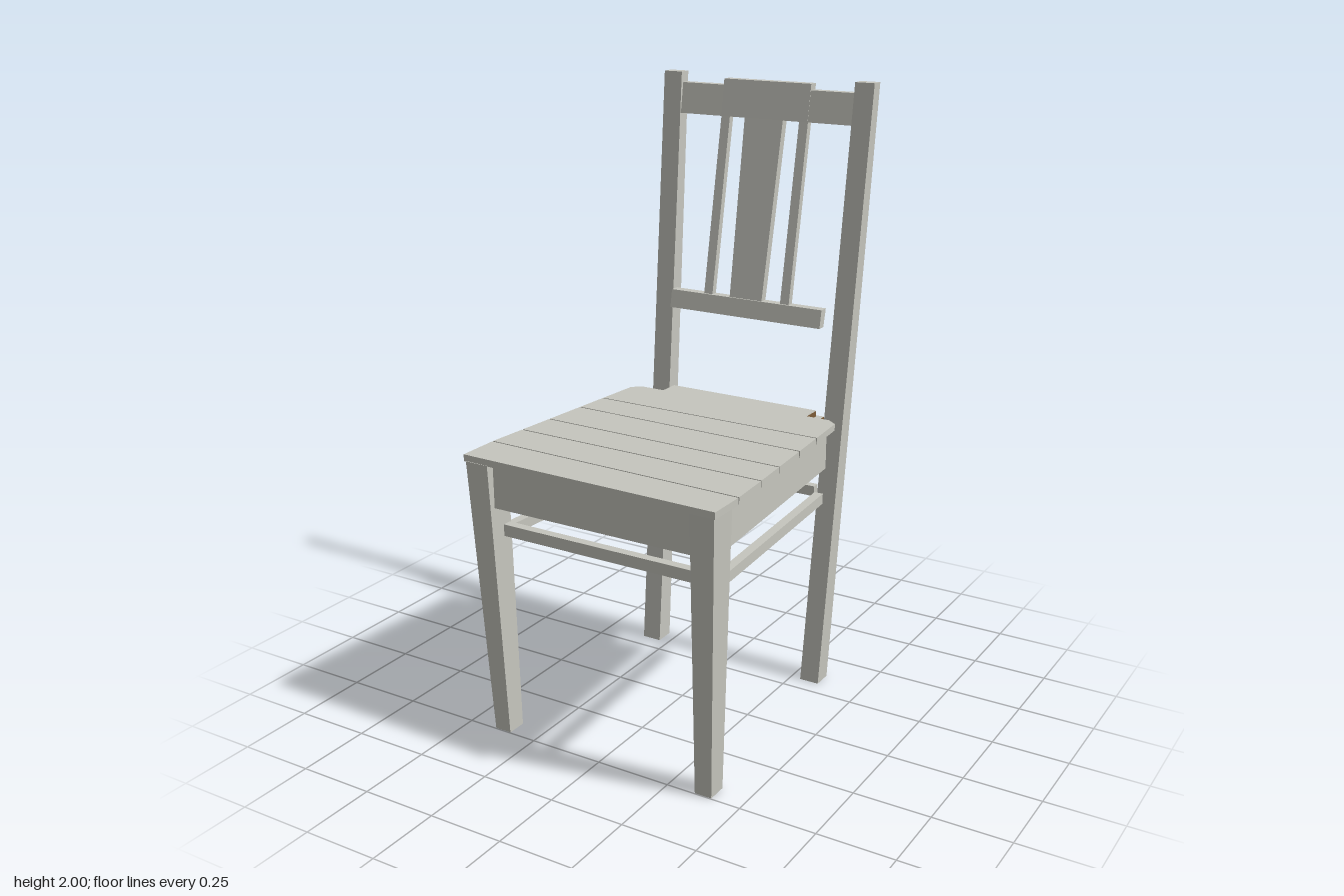
import * as THREE from 'three';

const paint = new THREE.MeshStandardMaterial({ color: 0xc6c6be });
paint.name = 'grey paint';
const wood = new THREE.MeshStandardMaterial({ color: 0x7d5c38 });
wood.name = 'bare wood';

const mix = (a, b, t) => a + (b - a) * t;
// Box faces in order: +x, -x, +y, -y, +z, -z
const [PX, NX, NY, NZ] = [0, 1, 3, 5];

export function createModel() {
  const chair = new THREE.Group();
  chair.name = 'chair';

  // A box whose unit coordinates (u, v, w) are mapped to space; listed faces are bare wood
  function block(name, map, bare = []) {
    const geo = new THREE.BoxGeometry(1, 1, 1);
    const p = geo.attributes.position;
    for (let i = 0; i < p.count; i++) {
      p.setXYZ(i, ...map(p.getX(i) + 0.5, p.getY(i) + 0.5, p.getZ(i) + 0.5));
    }
    geo.computeVertexNormals();
    const mats = [0, 1, 2, 3, 4, 5].map((f) => (bare.includes(f) ? wood : paint));
    const mesh = new THREE.Mesh(geo, bare.length ? mats : paint);
    mesh.name = name;
    chair.add(mesh);
  }

  // Tapered post between two sections [x0, x1, z0, z1] at heights y0 and y1
  function post(name, y0, low, y1, high, bare) {
    const at = (i, v) => mix(low[i], high[i], v);
    block(name, (u, v, w) => [mix(at(0, v), at(1, v), u), mix(y0, y1, v), mix(at(2, v), at(3, v), w)], bare);
  }
  const bar = (name, x0, x1, y0, y1, z0, z1, bare) =>
    post(name, y0, [x0, x1, z0, z1], y1, [x0, x1, z0, z1], bare);
  // Mirror a section across x
  const side = (s, [a, b, c, d]) => (s > 0 ? [a, b, c, d] : [-b, -a, c, d]);

  for (const s of [1, -1]) {
    const label = s > 0 ? 'left' : 'right';
    // Legs
    post(label + 'FrontLeg', 0, side(s, [0.345, 0.402, 0.43, 0.497]), 0.925, side(s, [0.355, 0.435, 0.447, 0.548]), [NY]);
    post(label + 'BackPost', 0, side(s, [0.285, 0.352, -0.378, -0.31]), 2, side(s, [0.318, 0.385, -0.562, -0.52]), [NY]);

    // Side apron and stretcher, narrowing toward the back
    const rail = (name, y0, y1, backX, frontX, thick, bare) => block(label + name, (u, v, w) => {
      const outer = mix(backX, frontX, w);
      return [s * (outer - thick * (s > 0 ? 1 - u : u)), mix(y0, y1, v), mix(-0.32, 0.46, w)];
    }, bare);
    rail('SideApron', 0.78, 0.925, 0.352, 0.412, 0.025, [s > 0 ? NX : PX, NZ]);
    rail('SideStretcher', 0.655, 0.69, 0.345, 0.397, 0.03);

    // Back spindles
    post(label + 'Spindle', 1.27, side(s, [0.128, 0.16, -0.425, -0.402]), 1.89, side(s, [0.128, 0.16, -0.54, -0.517]));
  }

  // Front and back aprons and stretchers
  bar('frontApron', -0.36, 0.36, 0.78, 0.925, 0.49, 0.52, [NZ]);
  bar('frontStretcher', -0.352, 0.352, 0.675, 0.713, 0.45, 0.48);
  bar('backApron', -0.3, 0.3, 0.78, 0.925, -0.405, -0.378, [PX, NX]);
  bar('backStretcher', -0.29, 0.29, 0.655, 0.69, -0.392, -0.365);

  // Seat boards: seam depths at the right and left ends
  const seams = [[-0.147, -0.147], [-0.025, -0.01], [0.13, 0.145], [0.262, 0.275], [0.4, 0.425], [0.545, 0.56]];
  const half = (z) => Math.min(0.445, mix(0.39, 0.445, (z + 0.3) / 0.7));
  for (let i = 0; i < seams.length - 1; i++) {
    block('seatBoard' + (i + 1), (u, v, w) => {
      const z = mix(mix(seams[i][0], seams[i][1], u) + 0.005, mix(seams[i + 1][0], seams[i + 1][1], u), w);
      return [(2 * u - 1) * half(z), mix(0.923, 0.945, v), z];
    });
  }

  // Rear seat board with clipped corners and notches for the posts
  const outline = [[0.402, -0.147], [0.39, -0.3], [0.358, -0.325], [0.273, -0.325], [0.273, -0.395]];
  const points = [...outline, ...outline.map(([x, z]) => [-x, z]).reverse()];
  const board = new THREE.ExtrudeGeometry(
    new THREE.Shape(points.map(([x, z]) => new THREE.Vector2(x, -z))), { depth: 0.022, bevelEnabled: false });
  board.rotateX(-Math.PI / 2).translate(0, 0.923, 0);
  const rear = new THREE.Mesh(board, paint);
  rear.name = 'rearSeatBoard';
  chair.add(rear);
  for (const s of [1, -1]) {
    bar('notchEdge', s * 0.274 - 0.002, s * 0.274 + 0.002, 0.924, 0.944, -0.394, -0.326, [PX, NX]);
  }

  // Bare underside of the seat, within the aprons
  block('seatUnderside', (u, v, w) => [
    (2 * u - 1) * mix(0.325, 0.392, w), mix(0.915, 0.922, v), mix(-0.376, 0.489, w),
  ], [0, 1, 2, 3, 4, 5]);

  // Backrest: crest rail with raised centre, splat and lower rail
  post('crestRail', 1.865, [-0.33, 0.33, -0.545, -0.51], 1.965, [-0.33, 0.33, -0.56, -0.528]);
  post('crestCentre', 1.865, [-0.16, 0.16, -0.546, -0.509], 1.985, [-0.16, 0.16, -0.563, -0.53]);
  post('splat', 1.27, [-0.06, 0.06, -0.428, -0.4], 1.89, [-0.071, 0.071, -0.542, -0.514]);
  post('lowerRail', 1.225, [-0.283, 0.283, -0.415, -0.387], 1.285, [-0.283, 0.283, -0.43, -0.398]);

  return chair;
}
